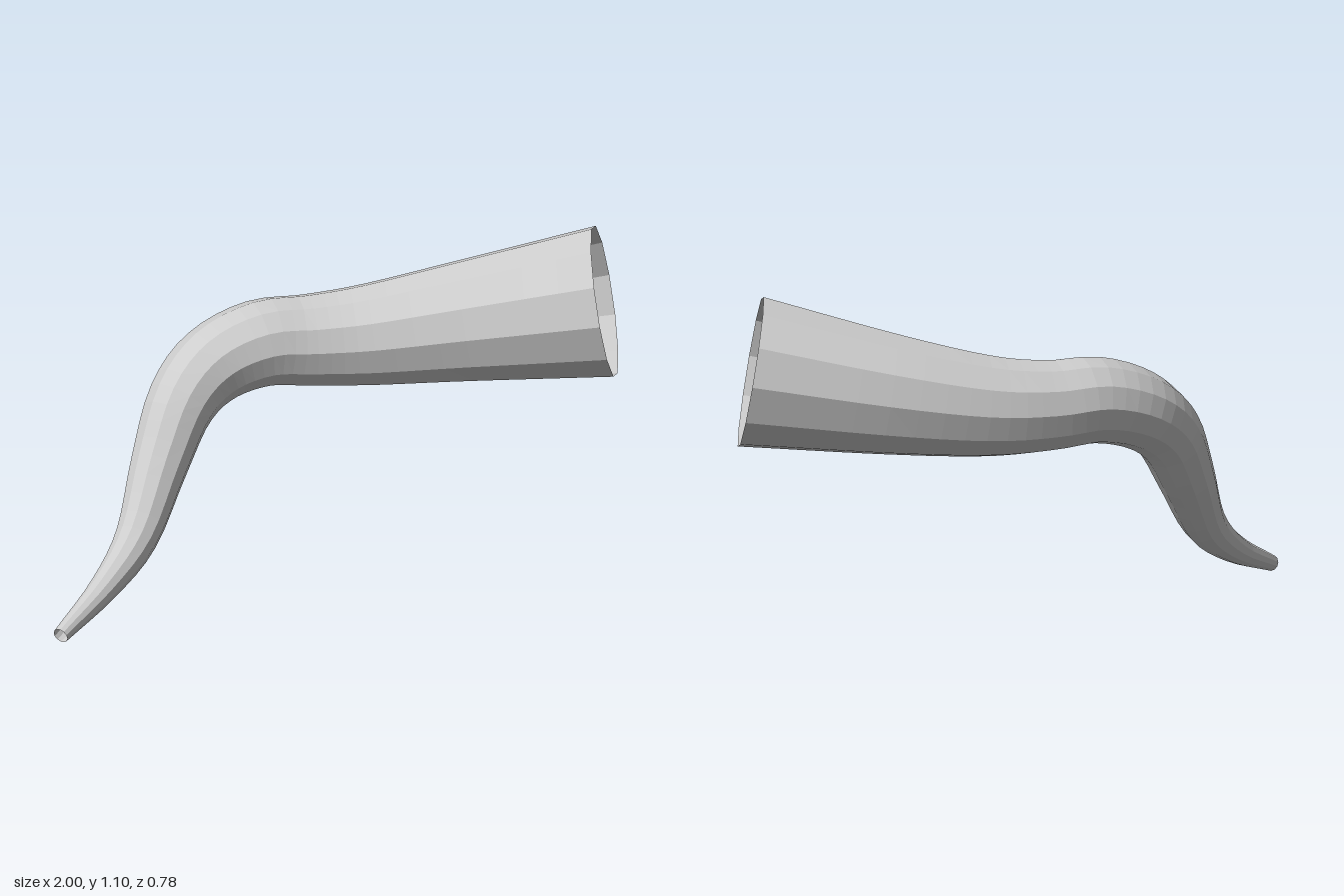
import * as THREE from 'three';

const SIDES = 12;
const STEPS = 40;

// Centreline stations from tip to mouth: x, y, z, radius
const STATIONS = [
  [-0.982, 0.026, 0.365, 0.026],
  [-0.80, 0.118, 0.212, 0.047],
  [-0.66, 0.235, 0.09, 0.070],
  [-0.55, 0.425, -0.045, 0.094],
  [-0.45, 0.595, -0.145, 0.113],
  [-0.33, 0.69, -0.208, 0.129],
  [-0.17, 0.738, -0.238, 0.142],
  [0.0, 0.733, -0.244, 0.150],
  [0.2, 0.742, -0.222, 0.167],
  [0.5, 0.787, -0.150, 0.199],
  [0.918, 0.862, -0.014, 0.248],
];

// Open tapered tube: rings of a regular polygon swept along the centreline
function hornGeometry() {
  const path = new THREE.CatmullRomCurve3(
    STATIONS.map(([x, y, z]) => new THREE.Vector3(x, y, z)), false, 'catmullrom', 0.5);
  const radii = new THREE.CatmullRomCurve3(
    STATIONS.map((s) => new THREE.Vector3(s[3], 0, 0)), false, 'catmullrom', 0.5);

  const positions = [];
  const indices = [];
  const up = new THREE.Vector3(0, 1, 0);

  // Start at the mouth and carry the frame back to the tip without twisting
  for (let i = 0; i <= STEPS; i++) {
    const t = 1 - i / STEPS;
    const centre = path.getPoint(t);
    const radius = radii.getPoint(t).x;
    const tangent = path.getTangent(t);
    up.addScaledVector(tangent, -up.dot(tangent)).normalize();
    const side = new THREE.Vector3().crossVectors(tangent, up);

    for (let j = 0; j < SIDES; j++) {
      const a = (j / SIDES) * Math.PI * 2;
      const p = centre.clone()
        .addScaledVector(up, Math.cos(a) * radius)
        .addScaledVector(side, Math.sin(a) * radius);
      positions.push(p.x, p.y, p.z);
      if (i < STEPS) {
        const k = (j + 1) % SIDES;
        const p0 = i * SIDES + j, p1 = i * SIDES + k;
        const q0 = p0 + SIDES, q1 = p1 + SIDES;
        indices.push(p0, q0, p1, p1, q0, q1);
      }
    }
  }

  const geometry = new THREE.BufferGeometry();
  geometry.setAttribute('position', new THREE.Float32BufferAttribute(positions, 3));
  geometry.setIndex(indices);

  // Separate the faces so each facet stays flat
  const faceted = geometry.toNonIndexed();
  faceted.computeVertexNormals();
  return faceted;
}

export function createModel() {
  const hornGrey = new THREE.MeshStandardMaterial({ color: 0xcccccc });
  hornGrey.name = 'hornGrey';
  hornGrey.side = THREE.DoubleSide;
  hornGrey.flatShading = true;

  const horn = new THREE.Mesh(hornGeometry(), hornGrey);
  horn.name = 'horn';

  const model = new THREE.Group();
  model.name = 'curvedHorn';
  model.add(horn);
  return model;
}
